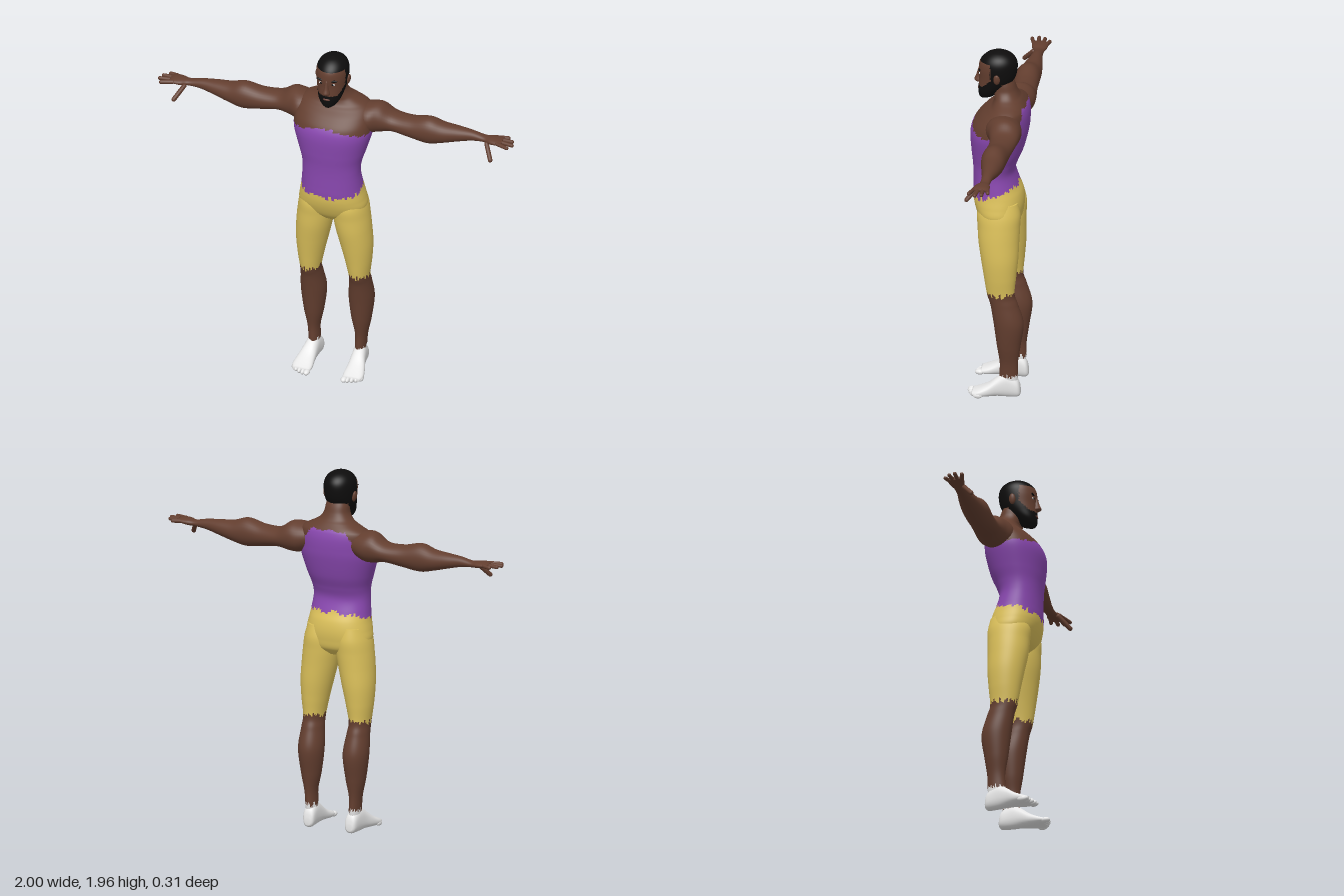
import * as THREE from 'three';

const mat = (name, color) => Object.assign(new THREE.MeshStandardMaterial({ color }), { name });
const skin = mat('skin', 0x633e2f), purple = mat('purple shirt', 0x8847ae), yellow = mat('yellow shorts', 0xdbc05a);
const black = mat('black hair', 0x0e0d0d), white = mat('white sock', 0xe9e9e9), lip = mat('lip', 0x6e4238);

// Maps (along, a, b) to x, y, z for a loft running along each axis
const AXES = {
  x: (t, a, b) => [t, a, b],
  y: (t, a, b) => [b, t, a],
  z: (t, a, b) => [a, b, t],
};

// Uneven, repeatable tooth height for ragged hems
const jag = (j) => Math.abs(Math.sin(j * 12.9898) * 43758.5453) % 1;

const spline = (a, b, c, d, u) =>
  b + 0.5 * u * (c - a + u * (2 * a - 5 * b + 4 * c - d + u * (3 * (b - c) + d - a)));

// Skin over oval sections [along, aMin, aMax, bMin, bMax]; pick(x, y, z, column) gives a material index
function loft(axis, sections, { segs = 32, steps = 4, power = 1, pick = () => 0 } = {}) {
  const pos = [], buckets = [], last = sections.length - 1;
  const at = (i) => sections[Math.min(last, Math.max(0, i))];
  const bend = (v) => Math.sign(v) * Math.abs(v) ** power;
  const rings = last * steps + 1;
  for (let r = 0; r < rings; r++) {
    const i = Math.min(last - 1, Math.floor(r / steps)), u = r / steps - i;
    const [t, a0, a1, b0, b1] = at(i).map((v, k) => spline(at(i - 1)[k], v, at(i + 1)[k], at(i + 2)[k], u));
    for (let j = 0; j < segs; j++) {
      const w = (j / segs) * Math.PI * 2;
      pos.push(...AXES[axis](t, (a0 + a1) / 2 + ((a1 - a0) / 2) * bend(Math.cos(w)),
        (b0 + b1) / 2 + ((b1 - b0) / 2) * bend(Math.sin(w))));
    }
  }
  for (const s of [at(0), at(last)]) pos.push(...AXES[axis](s[0], (s[1] + s[2]) / 2, (s[3] + s[4]) / 2));
  const face = (col, ...v) => {
    const c = [0, 1, 2].map((k) => (pos[v[0] * 3 + k] + pos[v[1] * 3 + k] + pos[v[2] * 3 + k]) / 3);
    (buckets[pick(...c, col)] ??= []).push(...v);
  };
  for (let j = 0; j < segs; j++) {
    const n = (j + 1) % segs, top = (rings - 1) * segs;
    for (let r = 0; r < rings - 1; r++) {
      const a = r * segs + j, b = r * segs + n;
      face(j, a, b, b + segs);
      face(j, a, b + segs, a + segs);
    }
    face(j, rings * segs, n, j);
    face(j, rings * segs + 1, top + j, top + n);
  }
  const geo = new THREE.BufferGeometry(), index = [];
  geo.setAttribute('position', new THREE.Float32BufferAttribute(pos, 3));
  buckets.forEach((list, m) => {
    geo.addGroup(index.length, list.length, m);
    for (const v of list) index.push(v);
  });
  geo.setIndex(index);
  geo.computeVertexNormals();
  return geo;
}

function ball([x, y, z], [sx, sy, sz], tilt = 0) {
  return new THREE.SphereGeometry(1, 20, 14).scale(sx, sy, sz).rotateZ(tilt).translate(x, y, z);
}

// Tapered-looking finger between two points
function finger(from, to, radius) {
  const a = new THREE.Vector3(...from), b = new THREE.Vector3(...to), d = b.clone().sub(a);
  const q = new THREE.Quaternion().setFromUnitVectors(new THREE.Vector3(0, 1, 0), d.clone().normalize());
  const m = a.add(b).multiplyScalar(0.5);
  return new THREE.CapsuleGeometry(radius, d.length() - radius * 2, 5, 10)
    .applyQuaternion(q).translate(m.x, m.y, m.z);
}

function mirrored(geo) {
  const g = geo.clone().scale(-1, 1, 1), ix = g.index;
  for (let i = 0; i < ix.count; i += 3) {
    const v = ix.getX(i);
    ix.setX(i, ix.getX(i + 2));
    ix.setX(i + 2, v);
  }
  g.computeVertexNormals();
  return g;
}

export function createModel() {
  const model = new THREE.Group();
  model.name = 'man';
  const add = (name, geo, material) => {
    const m = new THREE.Mesh(geo, material);
    m.name = name;
    model.add(m);
  };
  const pair = (name, geo, material) => {
    add('left ' + name, geo, material);
    add('right ' + name, mirrored(geo), material);
  };

  // Torso and neck: [y, back, front, -width, width]
  const body = [
    [0.96, -0.07, 0.06, 0.08], [1.0, -0.113, 0.095, 0.165], [1.05, -0.125, 0.12, 0.186], [1.1, -0.128, 0.135, 0.18],
    [1.15, -0.12, 0.14, 0.17], [1.2, -0.1, 0.14, 0.163], [1.27, -0.08, 0.14, 0.157], [1.33, -0.096, 0.143, 0.163],
    [1.4, -0.125, 0.15, 0.184], [1.5, -0.15, 0.155, 0.212], [1.56, -0.157, 0.14, 0.214], [1.61, -0.157, 0.1, 0.208],
    [1.645, -0.15, 0.06, 0.195], [1.665, -0.14, 0.038, 0.17], [1.69, -0.122, 0.028, 0.12], [1.71, -0.105, 0.03, 0.09],
    [1.74, -0.09, 0.035, 0.07], [1.78, -0.076, 0.035, 0.063], [1.83, -0.05, 0.03, 0.05],
  ].map(([y, b, f, w]) => [y, b, f, -w, w]);
  const shirtRule = (x, y, z, j) => {
    const r = jag(j), s = Math.abs(x);
    if (y < 1.158 - z * 0.25 + r * 0.03) return 2;
    const neckline = z > -0.05 ? 1.565 - s * 0.2 : 1.655 - Math.max(0, s - 0.1) * 1.5;
    return y < neckline + r * 0.012 ? 1 : 0;
  };
  add('torso', loft('y', body, { segs: 72, steps: 10, power: 0.9, pick: shirtRule }), [skin, purple, yellow]);

  // Legs: [y, back, front, inner, outer]
  const leg = [
    [0.06, -0.11, -0.02, 0.1, 0.158], [0.12, -0.117, -0.018, 0.1, 0.16], [0.2, -0.118, -0.02, 0.1, 0.167],
    [0.3, -0.132, -0.005, 0.08, 0.187], [0.43, -0.148, 0.012, 0.066, 0.202], [0.54, -0.118, 0.03, 0.077, 0.195],
    [0.6, -0.1, 0.048, 0.08, 0.193], [0.7, -0.108, 0.065, 0.06, 0.205], [0.8, -0.117, 0.082, 0.036, 0.211],
    [0.9, -0.12, 0.098, 0.013, 0.206], [0.98, -0.123, 0.104, 0.001, 0.198], [1.05, -0.125, 0.108, 0.005, 0.187],
    [1.12, -0.11, 0.09, 0.03, 0.165],
  ];
  const hemRule = (x, y, z, j) => (y < 0.1 + jag(j + 5) * 0.04 ? 2 : y < 0.59 + jag(j) * 0.035 ? 0 : 1);
  pair('leg', loft('y', leg, { segs: 48, steps: 12, pick: hemRule }), [skin, yellow, white]);

  // Feet: [z, inner, outer, bottom, top]
  pair('foot', loft('z', [
    [-0.13, 0.108, 0.142, 0.015, 0.05], [-0.115, 0.093, 0.158, 0.002, 0.1], [-0.06, 0.094, 0.166, 0, 0.135],
    [-0.01, 0.094, 0.175, 0.003, 0.112], [0.04, 0.092, 0.19, 0.002, 0.074], [0.09, 0.088, 0.199, 0, 0.048],
    [0.125, 0.093, 0.188, 0.004, 0.034],
  ], { power: 0.85 }), white);
  for (let i = 0; i < 5; i++) {
    const r = i ? 0.0115 : 0.017;
    pair('toe ' + (i + 1), ball([0.105 + i * 0.021, 0.016, 0.13 - i * i * 0.0025], [r, 0.015, 0.026]), white);
  }

  // Arms and palms: [x, bottom, top, back, front]
  pair('arm', loft('x', [
    [0.11, 1.54, 1.65, -0.12, 0.02], [0.19, 1.502, 1.664, -0.148, 0.045], [0.25, 1.502, 1.664, -0.149, 0.02],
    [0.32, 1.515, 1.622, -0.14, 0.002], [0.42, 1.5, 1.62, -0.127, 0.005], [0.52, 1.486, 1.64, -0.122, 0.01],
    [0.6, 1.503, 1.618, -0.118, -0.002], [0.68, 1.525, 1.61, -0.108, -0.018], [0.76, 1.545, 1.602, -0.093, -0.033],
    [0.83, 1.553, 1.588, -0.088, -0.035], [0.87, 1.554, 1.592, -0.097, -0.017], [0.91, 1.561, 1.592, -0.1, -0.011],
    [0.932, 1.567, 1.586, -0.095, -0.016],
  ], { steps: 6 }), skin);
  [[-0.088, 0.96, -0.101], [-0.067, 0.99, -0.069], [-0.045, 1, -0.034], [-0.023, 0.982, 0.002]].forEach(([root, x, z], i) =>
    pair('finger ' + (i + 1), finger([0.9, 1.577, root], [x, 1.574, z], 0.0105), skin));
  pair('thumb', finger([0.845, 1.568, -0.035], [0.895, 1.49, 0.033], 0.0125), skin);

  // Head with hair and beard: [y, back, front, -width, width]
  const head = [
    [1.685, 0.07, 0.105, 0.018], [1.7, 0.03, 0.114, 0.04], [1.73, 0, 0.117, 0.06], [1.77, -0.05, 0.115, 0.073],
    [1.81, -0.08, 0.113, 0.081], [1.86, -0.092, 0.115, 0.086], [1.9, -0.09, 0.108, 0.083], [1.93, -0.072, 0.085, 0.068],
    [1.95, -0.042, 0.055, 0.042], [1.96, -0.002, 0.018, 0.01],
  ].map(([y, b, f, w]) => [y, b, f, -w, w]);
  const hairRule = (x, y, z) => {
    const hair = y > 1.905 || (y > 1.79 && z < 0.04);
    const beard = z > -0.02 && y < 1.762 + Math.max(0, 0.09 - z);
    return hair || beard ? 1 : 0;
  };
  add('head', loft('y', head, { segs: 56, steps: 8, pick: hairRule }), [skin, black]);
  add('nose', loft('y', [
    [1.772, 0.09, 0.118, -0.015, 0.015], [1.783, 0.09, 0.14, -0.021, 0.021], [1.81, 0.09, 0.13, -0.013, 0.013],
    [1.855, 0.09, 0.117, -0.008, 0.008],
  ], { segs: 20 }), skin);
  add('mouth', ball([0, 1.741, 0.115], [0.02, 0.006, 0.005]), lip);
  pair('ear', ball([0.086, 1.825, 0.005], [0.011, 0.029, 0.018], -0.15), skin);
  pair('eye', ball([0.032, 1.836, 0.105], [0.014, 0.006, 0.004]), white);
  pair('pupil', ball([0.032, 1.836, 0.107], [0.006, 0.006, 0.004]), black);
  pair('eyebrow', ball([0.035, 1.856, 0.105], [0.024, 0.006, 0.006], 0.15), black);
  return model;
}
